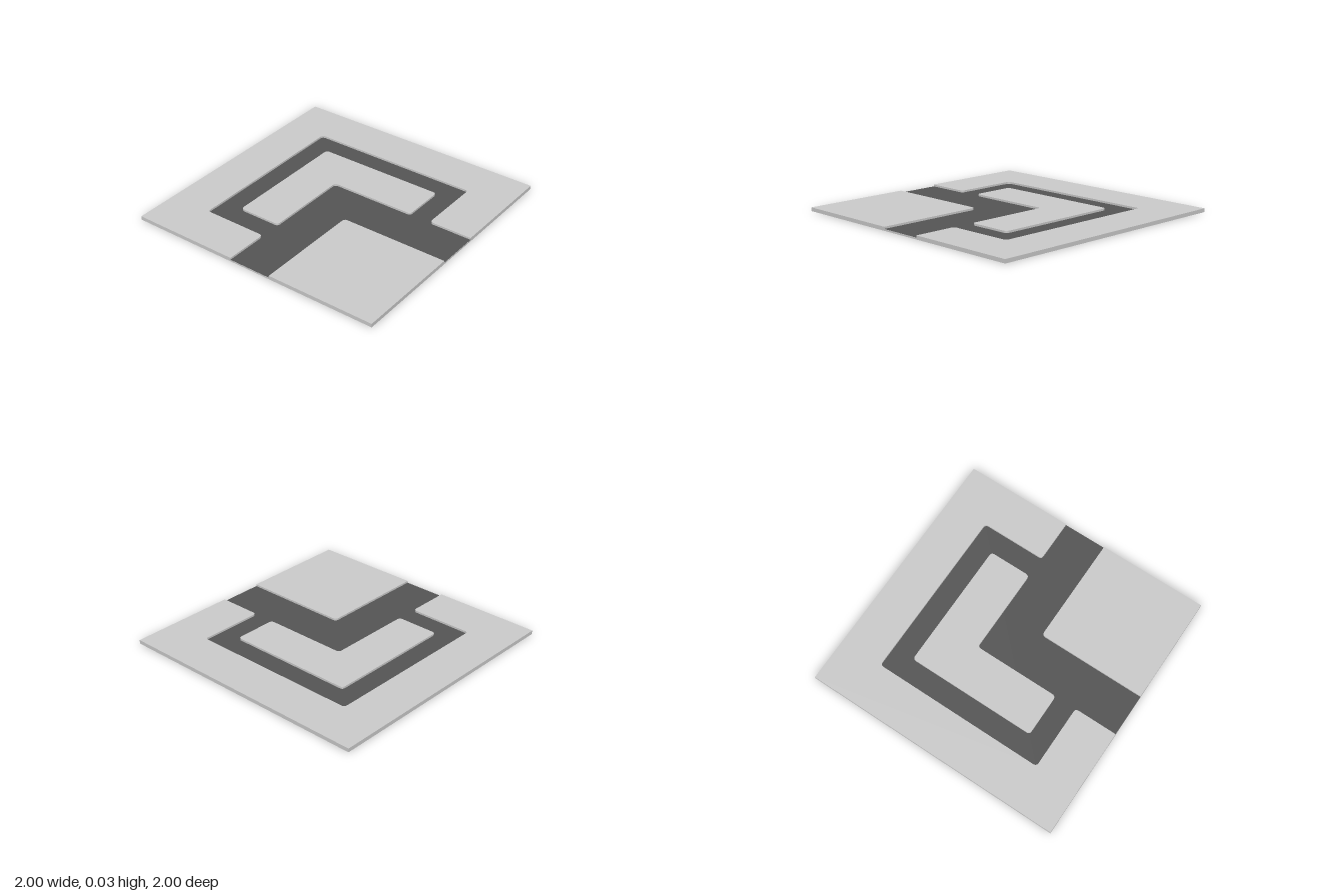
import * as THREE from 'three';

const SLAB = 0.012, TOP = 0.028, R = 0.028;

// Closed outline from [x, z] corners; corners on the tile border stay sharp, others are rounded
function outline(pts) {
  const shape = new THREE.Shape();
  const v = pts.map(([x, z]) => new THREE.Vector2(x, -z));
  v.forEach((p, i) => {
    const prev = v[(i + v.length - 1) % v.length], next = v[(i + 1) % v.length];
    const onBorder = Math.max(Math.abs(p.x), Math.abs(p.y)) > 0.99;
    const r = onBorder ? 0 : R;
    const a = p.clone().add(prev.clone().sub(p).setLength(r));
    const b = p.clone().add(next.clone().sub(p).setLength(r));
    if (i === 0) shape.moveTo(a.x, a.y);
    else shape.lineTo(a.x, a.y);
    if (r) shape.quadraticCurveTo(p.x, p.y, b.x, b.y);
  });
  shape.closePath();
  return shape;
}

export function createModel() {
  const group = new THREE.Group();
  const grey = new THREE.MeshStandardMaterial({ color: 0xcccccc });
  const asphalt = new THREE.MeshStandardMaterial({ color: 0x555555 });
  const add = (name, geometry, material) => {
    const mesh = new THREE.Mesh(geometry, material);
    mesh.name = name;
    group.add(mesh);
    return mesh;
  };

  // Tile slab with the road surface on it
  add('slab', new THREE.BoxGeometry(2, SLAB, 2).translate(0, SLAB / 2, 0), grey);
  add('roadSurface', new THREE.PlaneGeometry(2, 2).rotateX(-Math.PI / 2).translate(0, SLAB + 0.001, 0), asphalt);

  // Raised pavement areas that leave the road and its side loop open
  const a = 1 / 6, b = 0.5, c = 2 / 3;
  const areas = {
    outerPavement: [[-1, -1], [1, -1], [1, -a], [c, -a], [c, -c], [-c, -c], [-c, c], [-a, c], [-a, 1], [-1, 1]],
    islandPavement: [[-b, -b], [b, -b], [b, -a], [-a, -a], [-a, b], [-b, b]],
    cornerPavement: [[a, a], [1, a], [1, 1], [a, 1]],
  };
  for (const [name, pts] of Object.entries(areas)) {
    const geometry = new THREE.ExtrudeGeometry(outline(pts), {
      depth: TOP - SLAB, bevelEnabled: false, curveSegments: 5,
    });
    add(name, geometry.rotateX(-Math.PI / 2).translate(0, SLAB, 0), grey);
  }
  return group;
}
